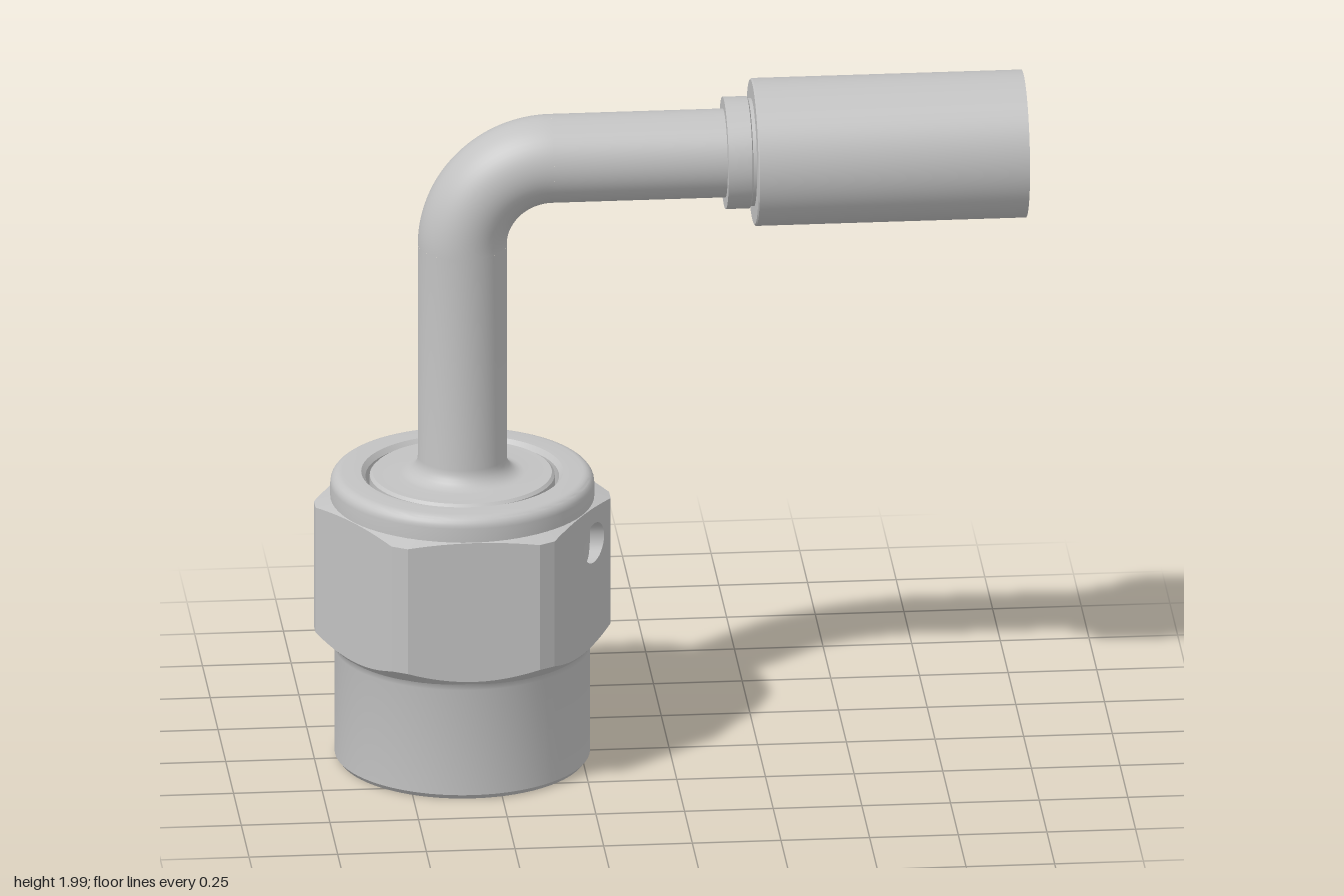
import * as THREE from 'three';
import { toCreasedNormals } from 'three/addons/utils/BufferGeometryUtils.js';

const AXIS_X = -0.583, PIPE_R = 0.125, PIPE_Y = 1.785, BEND_R = 0.25;
const FLAT = 0.373, CORNER = 0.417; // hex across-flats radius and rounded corner radius

const steel = new THREE.MeshStandardMaterial({ color: 0xc2c2c2 });
steel.name = 'steel';

function lathe(points) {
  const g = new THREE.LatheGeometry(points.map(([r, y]) => new THREE.Vector2(r, y)), 72);
  return toCreasedNormals(g, 0.5);
}

// Quarter-circle profile points around (cx, cy)
function arc(cx, cy, r, from, to, n = 6) {
  return Array.from({ length: n + 1 }, (_, i) => {
    const a = THREE.MathUtils.degToRad(from + (to - from) * i / n);
    return [cx + r * Math.cos(a), cy + r * Math.sin(a)];
  });
}

// Triangles joining closed loop a (lower) to closed loop b (upper)
function band(out, a, b, skip = () => false) {
  for (let i = 0; i < a.length; i++) {
    if (skip(i)) continue;
    const j = (i + 1) % a.length;
    for (const p of [a[i], a[j], b[j], a[i], b[j], b[i]]) out.push(...p);
  }
}

function fromTriangles(positions) {
  const g = new THREE.BufferGeometry();
  g.setAttribute('position', new THREE.Float32BufferAttribute(positions, 3));
  return toCreasedNormals(g, 0.35);
}

// Point on a hex face: phi is the direction of the face, t runs along it
const onFace = (phi, t, y) => [
  FLAT * Math.cos(phi) + t * Math.sin(phi), y,
  FLAT * Math.sin(phi) - t * Math.cos(phi)];

function hexNut() {
  const group = new THREE.Group();
  const half = Math.sqrt(CORNER ** 2 - FLAT ** 2), n = 12;
  const bottomY = r => 0.36 + (r - FLAT) * 0.68;
  const topY = r => 0.778 - (r - FLAT) * 0.28;
  const lowIn = [], low = [], high = [], highIn = [];
  const outlineLow = [], outlineHigh = [];
  const phi0 = Math.PI / 6;

  // Chamfered hexagon: loops of points around all six faces
  for (let k = 0; k < 6; k++) {
    const phi = phi0 - k * Math.PI / 3;
    for (let j = 0; j <= n; j++) {
      const t = half * (2 * j / n - 1), r = Math.hypot(FLAT, t);
      const p = onFace(phi, t, bottomY(r)), q = onFace(phi, t, topY(r));
      const ring = (rad, y) => [p[0] * rad / r, y, p[2] * rad / r];
      low.push(p);
      high.push(q);
      lowIn.push(ring(0.36, 0.345));
      highIn.push(ring(0.36, 0.783));
      if (k === 0) {
        outlineLow.push(new THREE.Vector2(t, p[1]));
        outlineHigh.push(new THREE.Vector2(t, q[1]));
      }
    }
  }
  const tris = [];
  band(tris, lowIn, low);
  band(tris, low, high, i => i < n); // the drilled face is made separately
  band(tris, high, highIn);
  add(group, 'hexFaces', fromTriangles(tris));

  // Face with the wire hole, drilled along x
  const hole = [];
  for (let i = 0; i < 32; i++) {
    const a = i / 32 * Math.PI * 2;
    hole.push(new THREE.Vector2(0.076 + 0.067 * Math.cos(a), 0.67 + 0.058 * Math.sin(a)));
  }
  const shape = new THREE.Shape([...outlineLow, ...outlineHigh.reverse()]);
  shape.holes.push(new THREE.Path(hole));
  const face = new THREE.ShapeGeometry(shape);
  const pos = face.attributes.position;
  for (let i = 0; i < pos.count; i++) pos.setXYZ(i, ...onFace(phi0, pos.getX(i), pos.getY(i)));
  face.computeVertexNormals();
  add(group, 'drilledFace', face);

  const rim = hole.map(p => onFace(phi0, p.x, p.y));
  const wall = [];
  band(wall, rim, rim.map(([x, y, z]) => [x - 0.125, y, z]));
  add(group, 'wireHole', fromTriangles(wall));

  // Round skirt, top collar and bore
  add(group, 'nutBody', lathe([
    [0.31, 0], [0.348, 0], [0.359, 0.014], [0.359, 0.33], [0.363, 0.348], [0.372, 0.36],
    [0.36, 0.4], [0.36, 0.76], [0.371, 0.776],
    ...arc(0.339, 0.82, 0.032, 0, 90),
    [0.284, 0.852], [0.272, 0.838], [0.272, 0.05], [0.31, 0],
  ]));
  return group;
}

function add(parent, name, geometry) {
  const mesh = new THREE.Mesh(geometry, steel);
  mesh.name = name;
  parent.add(mesh);
  return mesh;
}

export function createModel() {
  const model = new THREE.Group();
  model.name = 'elbowFitting';

  const nut = hexNut();
  nut.name = 'swivelNut';
  nut.position.x = AXIS_X;
  model.add(nut);

  // Stem: cone seat, shoulder disc, fillet and upright pipe
  const bendStart = PIPE_Y - BEND_R;
  add(model, 'stem', lathe([
    [0, 1.4], [0.075, 1.4], [0.075, 0.62], [0.22, 0.42], [0.25, 0.42], [0.26, 0.43],
    [0.26, 0.842], [0.252, 0.85],
    ...arc(PIPE_R + 0.05, 0.9, 0.05, 270, 180),
    [PIPE_R, bendStart],
  ])).position.x = AXIS_X;

  // Quarter bend
  const bend = new THREE.TorusGeometry(BEND_R, PIPE_R, 48, 32, Math.PI / 2);
  bend.rotateZ(Math.PI / 2);
  add(model, 'pipeBend', bend).position.set(AXIS_X + BEND_R, bendStart, 0);

  // Level pipe
  const x0 = AXIS_X + BEND_R, x1 = 0.17;
  const pipe = new THREE.CylinderGeometry(PIPE_R, PIPE_R, x1 - x0, 72, 1, true);
  pipe.rotateZ(-Math.PI / 2);
  add(model, 'levelPipe', pipe).position.set((x0 + x1) / 2, PIPE_Y, 0);

  // Hose end: collar, crimp sleeve with its socket, and inner nipple
  const hoseEnd = new THREE.Group();
  hoseEnd.name = 'hoseEnd';
  hoseEnd.rotation.z = -Math.PI / 2;
  hoseEnd.position.y = PIPE_Y;
  add(hoseEnd, 'collar', lathe([
    [0.12, 0.155], [0.158, 0.155], [0.158, 0.222], [0.152, 0.225], [0.152, 0.236]]));
  add(hoseEnd, 'crimpSleeve', lathe([
    [0.15, 0.235], [0.204, 0.235], [0.208, 0.239], [0.208, 1], [0.183, 1],
    [0.16, 0.96], [0.16, 0.4], [0.09, 0.4]]));
  add(hoseEnd, 'nipple', lathe([
    [0.1, 0.4], [0.1, 0.94], [0.086, 0.985], [0.072, 0.985], [0.072, 0.35], [0, 0.35]]));
  model.add(hoseEnd);

  return model;
}
